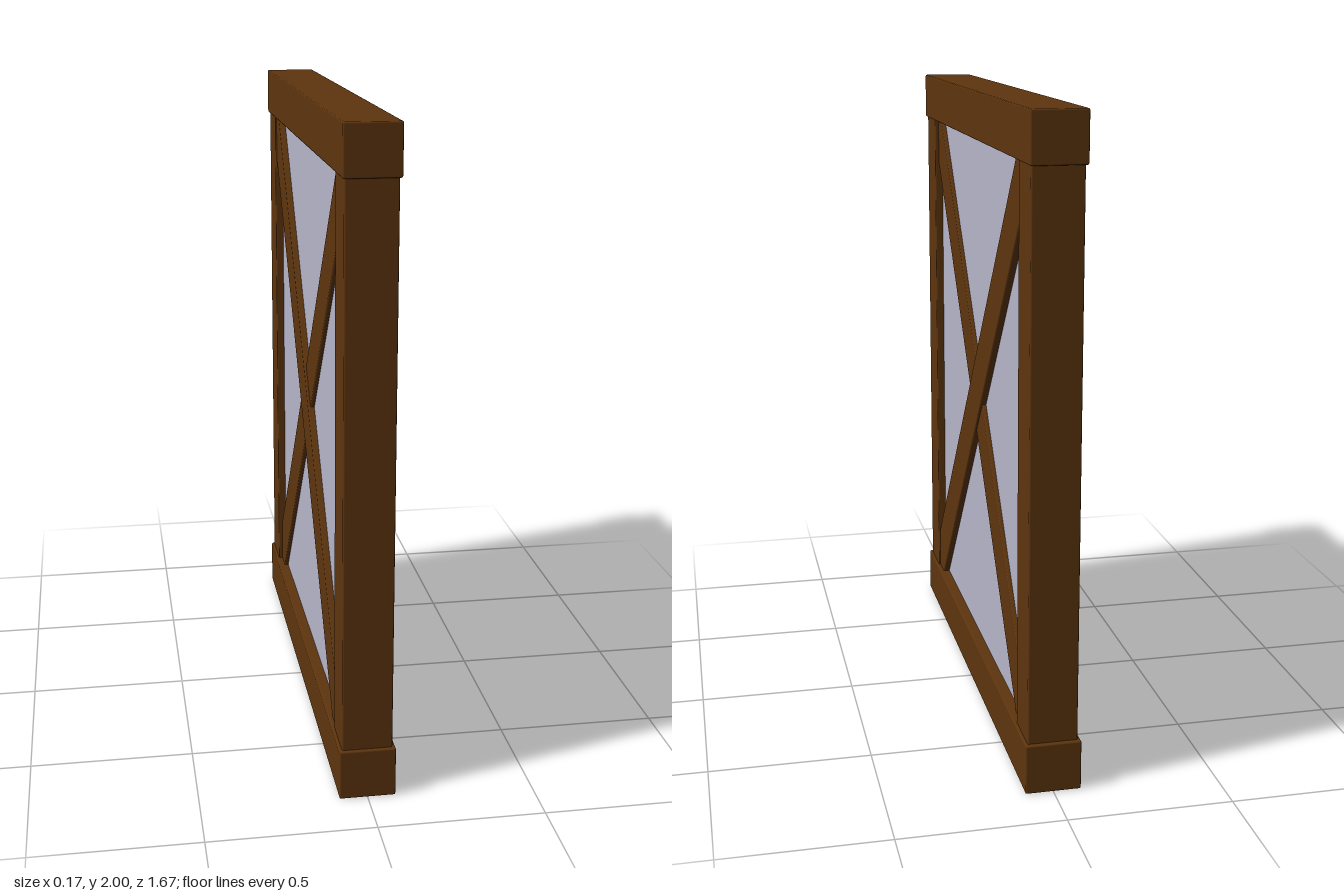
import * as THREE from 'three';
import { RoundedBoxGeometry } from 'three/addons/geometries/RoundedBoxGeometry.js';

const wood = new THREE.MeshStandardMaterial({ color: 0x5e350e });
const plaster = new THREE.MeshStandardMaterial({ color: 0xb7b7cb });

export function createModel() {
  const group = new THREE.Group();

  // timber with slightly eased edges
  const timber = (name, w, h, d, y, z, tilt = 0) => {
    const mesh = new THREE.Mesh(new RoundedBoxGeometry(w, h, d, 1, 0.005), wood);
    mesh.name = name;
    mesh.position.set(0, y, z);
    mesh.rotation.x = tilt;
    group.add(mesh);
  };

  // horizontal beams
  timber('bottomBeam', 0.17, 0.155, 1.67, 0.0775, 0);
  timber('topBeam', 0.164, 0.15, 1.67, 1.925, 0);

  // upright posts
  timber('frontPost', 0.152, 1.74, 0.15, 1, 0.748);
  timber('backPost', 0.152, 1.74, 0.15, 1, -0.746);

  // crossed braces, one deeper so it passes over the other on both faces
  const lean = Math.atan2(1, 1.207);
  timber('mainBrace', 0.142, 2.16, 0.15, 0.998, 0, -lean);
  timber('crossBrace', 0.126, 2.16, 0.15, 0.998, 0, lean);

  // infill panel
  const panel = new THREE.Mesh(new THREE.BoxGeometry(0.1, 1.74, 1.4), plaster);
  panel.name = 'infillPanel';
  panel.position.y = 1;
  group.add(panel);

  return group;
}
